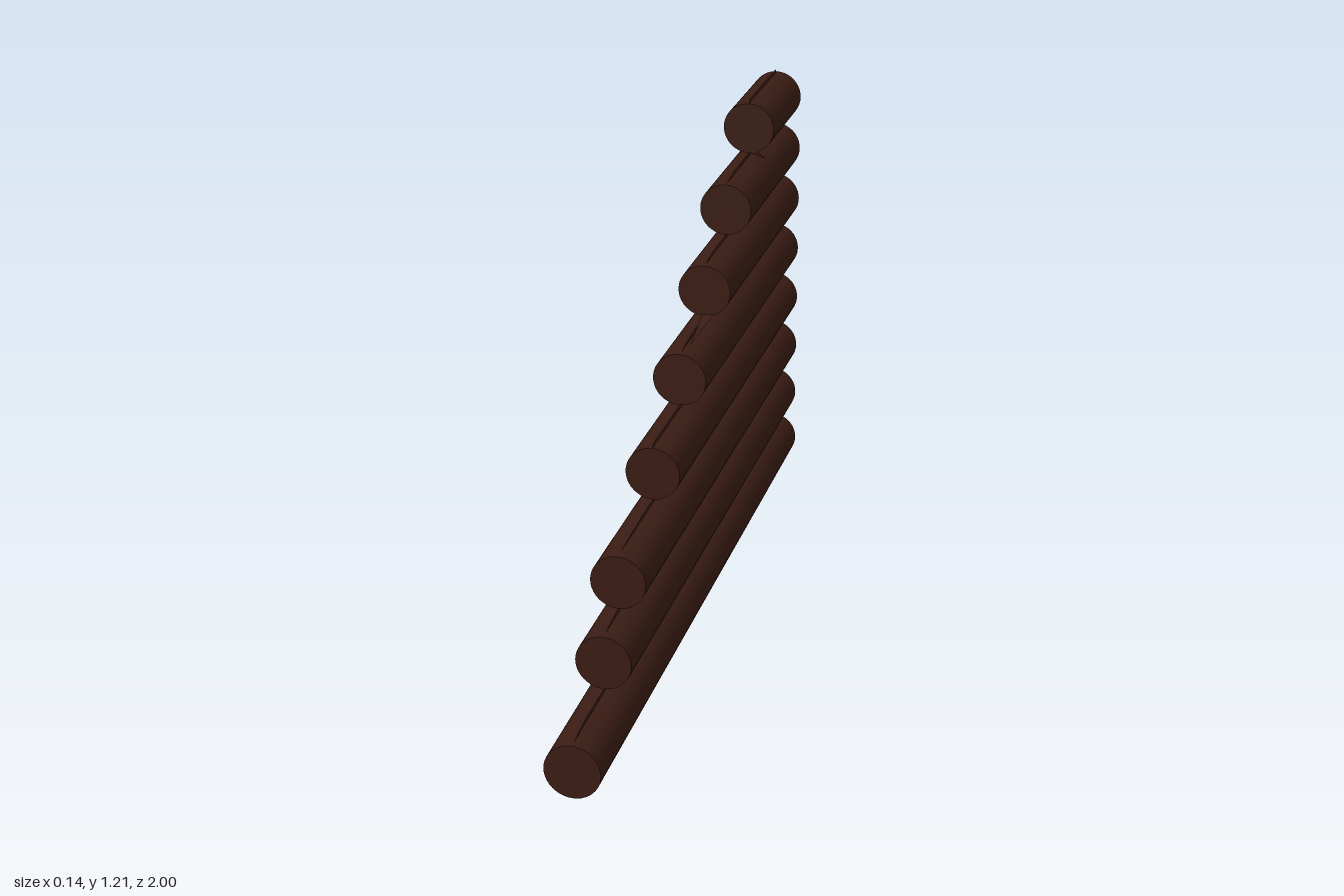
import * as THREE from 'three';

const RADIUS = 0.07;
const BACK = -0.99;

// Thin surface given as a fan of corner points
function sliver(name, points, material) {
  const geometry = new THREE.BufferGeometry().setFromPoints(points.map((p) => new THREE.Vector3(...p)));
  const index = [];
  for (let i = 1; i < points.length - 1; i++) index.push(0, i, i + 1);
  geometry.setIndex(index);
  geometry.computeVertexNormals();
  const mesh = new THREE.Mesh(geometry, material);
  mesh.name = name;
  return mesh;
}

export function createModel() {
  const group = new THREE.Group();
  group.name = 'steppedLogs';
  const bark = new THREE.MeshStandardMaterial({ color: 0x3b1d14 });
  const thin = new THREE.MeshStandardMaterial({ color: 0x3b1d14, side: THREE.DoubleSide });

  // Logs flush at the back: front end z, and length over which the ridge rises
  const logs = [
    [1.0, 0.1], [0.745, 0.1], [0.617, 0.2], [0.31, 0.01],
    [0.057, 0.12], [-0.19, 0.08], [-0.41, 0.1], [-0.66, 0.01],
  ];
  logs.forEach(([front, rise], i) => {
    const back = i === 0 ? -1 : BACK;
    const y = 0.072 + i * 0.1515;
    const geometry = new THREE.CylinderGeometry(RADIUS, RADIUS, front - back, 40);
    geometry.rotateX(Math.PI / 2);
    const log = new THREE.Mesh(geometry, bark);
    log.name = `log${i + 1}`;
    log.position.set(0, y, (front + back) / 2);
    group.add(log);

    // Paper-thin ridge along the top of the log
    const low = y + RADIUS - 0.002;
    const high = y + RADIUS + 0.011;
    group.add(sliver(`ridge${i + 1}`, [
      [0, low, back], [0, low, front], [0, high, front - rise], [0, high, back + 0.02],
    ], thin));
  });

  // Splinters under the sixth and the top log
  group.add(sliver('splinterLower', [[-0.005, 0.765, -0.19], [0.025, 0.765, -0.19], [0.012, 0.752, 0]], thin));
  group.add(sliver('splinterUpper', [[0, 1.065, -0.66], [0.025, 1.07, -0.66], [0.045, 1.047, -0.67]], thin));
  return group;
}
